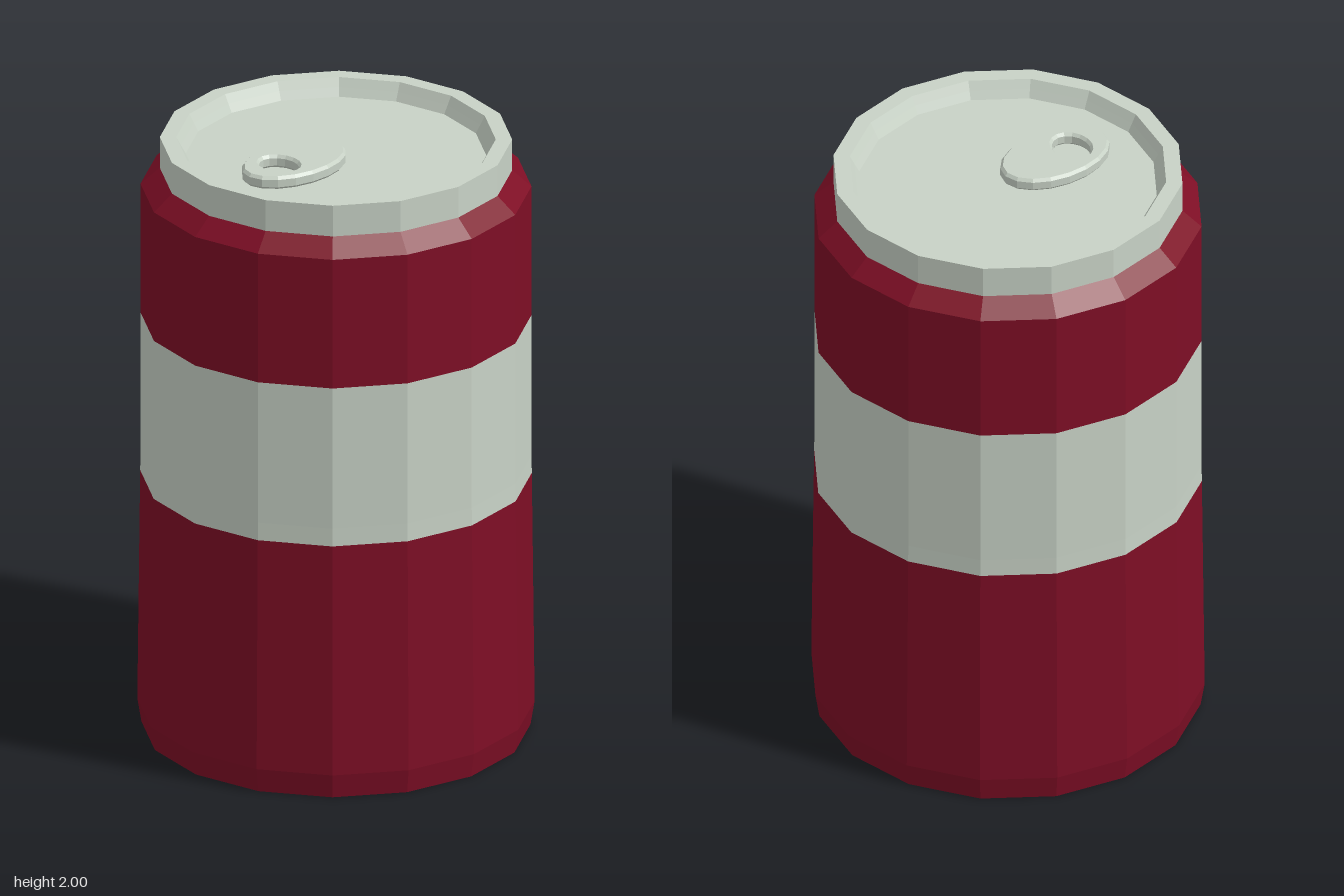
import * as THREE from 'three';

const SIDES = 16;
const red = new THREE.MeshStandardMaterial({ color: 0x7e0e25, flatShading: true });
const metal = new THREE.MeshStandardMaterial({ color: 0xc8d2c6, flatShading: true });

// Faceted ring turned from [radius, height] pairs
function turned(name, profile, material) {
  const points = profile.map(([r, y]) => new THREE.Vector2(r, y));
  const mesh = new THREE.Mesh(new THREE.LatheGeometry(points, SIDES), material);
  mesh.name = name;
  return mesh;
}

function ellipsePoints(cx, rx, ry, count) {
  return Array.from({ length: count }, (_, i) => {
    const a = (i / count) * Math.PI * 2;
    return new THREE.Vector2(cx + rx * Math.cos(a), ry * Math.sin(a));
  });
}

// Oval pull tab with a finger hole and a bevelled top edge
function pullTab() {
  const bevel = 0.008;
  const shape = new THREE.Shape(ellipsePoints(0, 0.195 - bevel, 0.125 - bevel, 18));
  shape.holes.push(new THREE.Path(ellipsePoints(-0.065, 0.057 + bevel, 0.07 + bevel, 16)));
  const geometry = new THREE.ExtrudeGeometry(shape, {
    depth: 0.025, bevelEnabled: true, bevelSize: bevel, bevelThickness: 0.01, bevelSegments: 1,
  });
  geometry.rotateX(-Math.PI / 2);
  const tab = new THREE.Mesh(geometry, metal);
  tab.name = 'pullTab';
  tab.position.set(-0.185, 1.952, 0);
  return tab;
}

export function createModel() {
  const can = new THREE.Group();
  can.name = 'drinkCan';
  can.add(
    turned('lowerBody', [[0, 0], [0.615, 0], [0.628, 0.08], [0.619, 0.86]], red),
    turned('labelBand', [[0.619, 0.86], [0.618, 0.92], [0.618, 1.4]], metal),
    turned('upperBody', [[0.618, 1.4], [0.618, 1.84], [0.557, 1.895]], red),
    // Rim, its inner wall and the recessed lid
    turned('rimAndLid', [
      [0.557, 1.895], [0.557, 2], [0.505, 2], [0.49, 1.972], [0.475, 1.945], [0, 1.945],
    ], metal),
    pullTab(),
  );
  return can;
}
